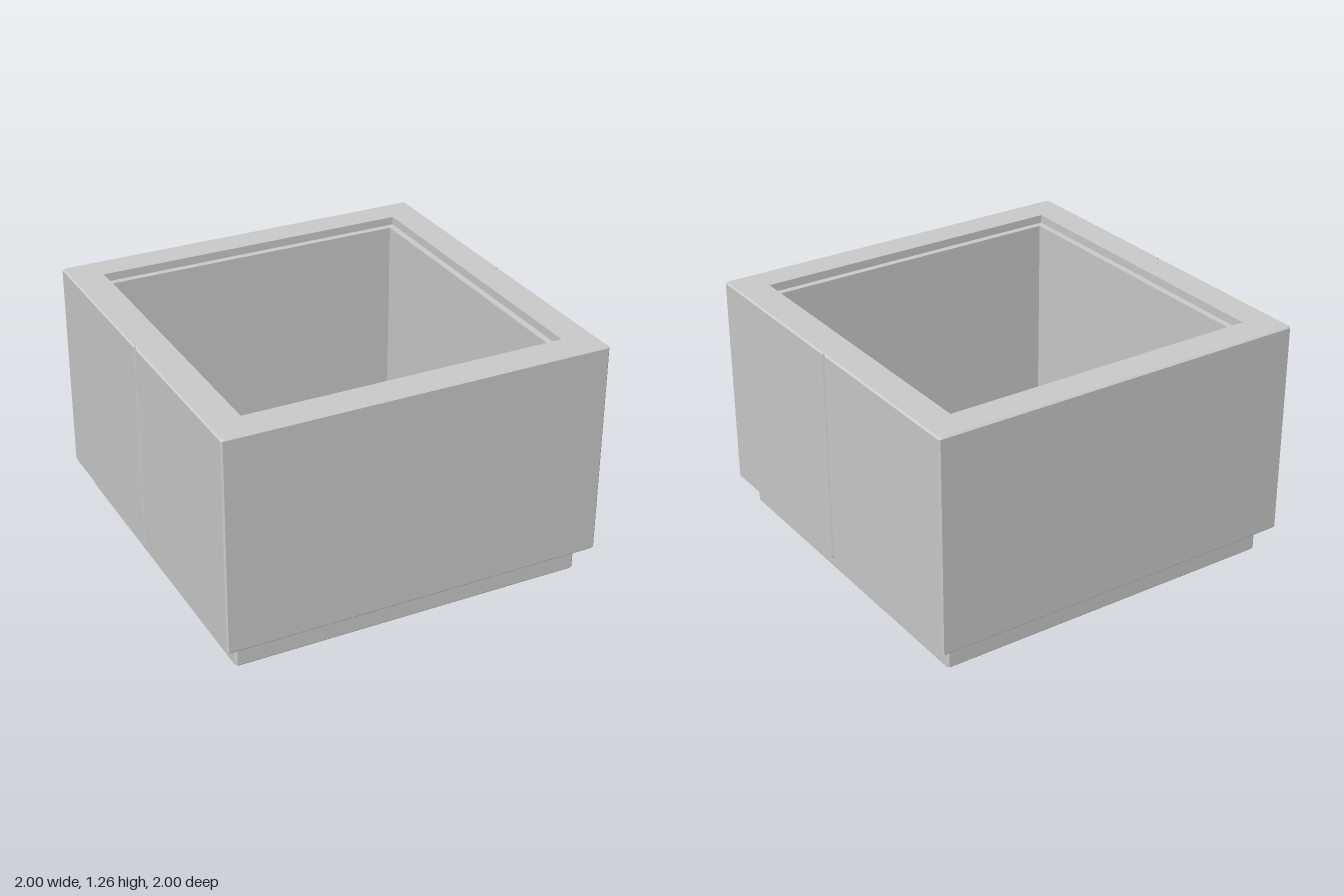
import * as THREE from 'three';

// Square outline, counter-clockwise from above: half size h, corner chamfer c,
// and a groove of depth n down the middle of the two x sides
function outline(h, c, n) {
  const w = Math.min(0.012, h);
  const half = [
    [h - c, h], [h, h - c],
    [h, w], [h - n, w / 2], [h - n, -w / 2], [h, -w],
    [h, c - h], [h - c, -h],
  ];
  return [...half, ...half.map(([x, z]) => [-x, -z])];
}

// Skin over a stack of outlines, each given as [half size, y, chamfer, groove]
function loft(name, sections, material) {
  const rings = sections.map(([h, y, c = 0, n = 0]) =>
    outline(h, c, n).map(([x, z]) => [x, y, z]));
  const positions = [];
  for (let i = 0; i < rings.length - 1; i++) {
    const count = rings[i].length;
    for (let j = 0; j < count; j++) {
      const k = (j + 1) % count;
      const a = rings[i][j], b = rings[i][k];
      const c = rings[i + 1][j], d = rings[i + 1][k];
      positions.push(...a, ...b, ...d, ...a, ...d, ...c);
    }
  }
  const geometry = new THREE.BufferGeometry();
  geometry.setAttribute('position', new THREE.Float32BufferAttribute(positions, 3));
  geometry.computeVertexNormals();
  const mesh = new THREE.Mesh(geometry, material);
  mesh.name = name;
  return mesh;
}

export function createModel() {
  const group = new THREE.Group();
  group.name = 'planterBox';
  const material = new THREE.MeshStandardMaterial({ color: 0xcccccc, flatShading: true });
  const bevel = 0.008;
  const top = 1.265, bottom = 0.14, ledge = 1.222, floor = 0.2;

  // Recessed plinth with bevelled edges
  group.add(loft('plinth', [
    [0, 0],
    [0.93 - 0.01, 0, 0.01],
    [0.93, 0.01, 0.01],
    [0.93, bottom - 0.012, 0.01],
    [0.93 - 0.01, bottom - 0.002, 0.01],
    [0.93 - 0.01, bottom, 0.01],
  ], material));

  // Hollow body: underside, grooved outer walls, rim, inner ledge, inner walls, floor
  group.add(loft('body', [
    [0, bottom],
    [1 - bevel, bottom, bevel, 0.01],
    [1, bottom + bevel, bevel, 0.01],
    [1, top - bevel, bevel, 0.01],
    [1 - bevel, top, bevel, 0.01],
    [0.835, top],
    [0.835, ledge],
    [0.8, ledge],
    [0.8, floor],
    [0, floor],
  ], material));

  return group;
}
